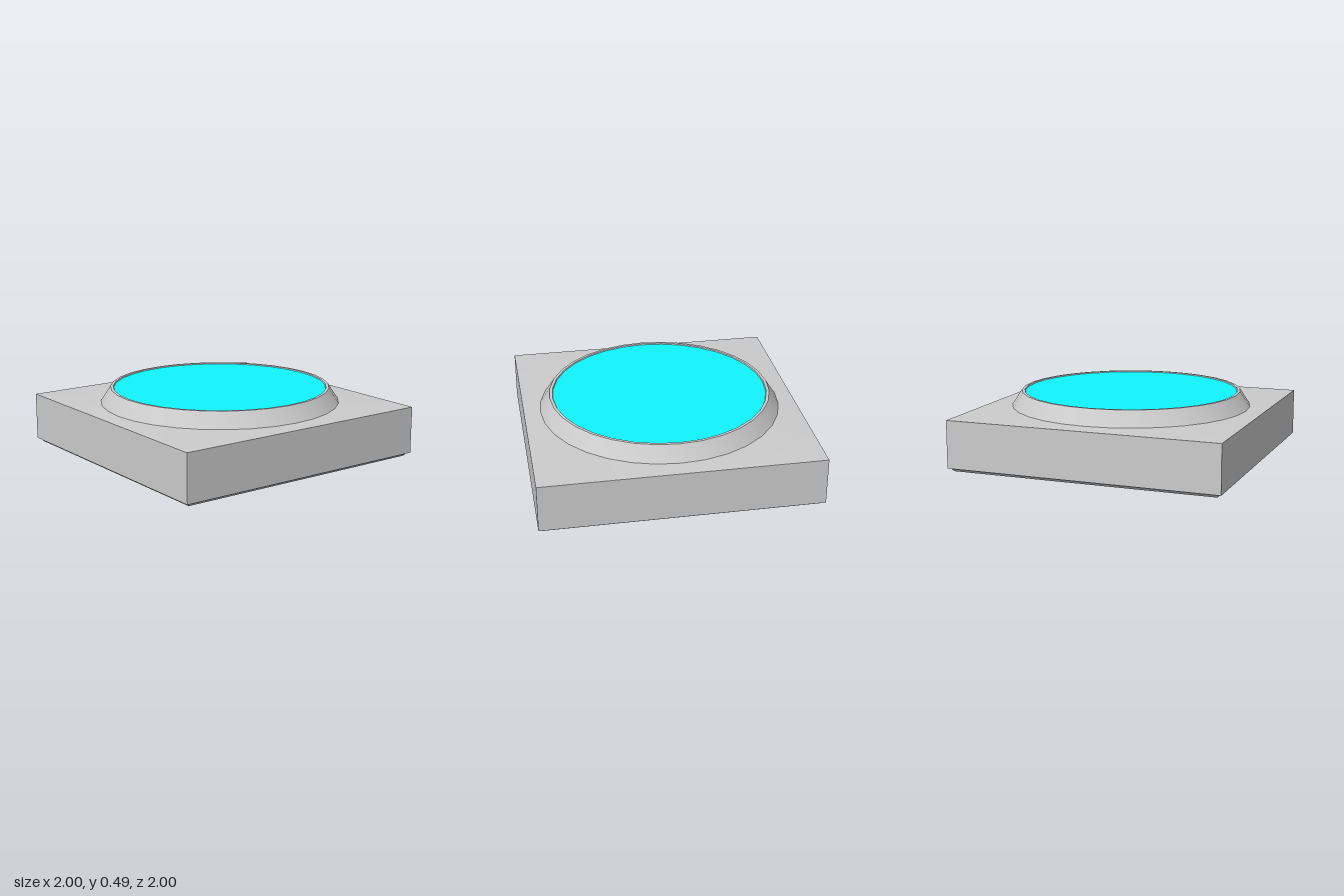
import * as THREE from 'three';
import { toCreasedNormals } from 'three/addons/utils/BufferGeometryUtils.js';

const SIDES = 32;
const TOP_EDGE = 0.37;
const grey = new THREE.MeshStandardMaterial({ color: 0xcccccc });
const cyan = new THREE.MeshStandardMaterial({ color: 0x10f5ff });

function lathe(profile) {
  return new THREE.LatheGeometry(profile.map(([r, y]) => new THREE.Vector2(r, y)), SIDES);
}

function addPart(group, name, geometry, material) {
  const mesh = new THREE.Mesh(geometry, material);
  mesh.name = name;
  group.add(mesh);
  return mesh;
}

// Push round cross-sections out to a square, up to the given height
function squareBelow(geometry, height) {
  const pos = geometry.attributes.position;
  for (let i = 0; i < pos.count; i++) {
    const x = pos.getX(i), y = pos.getY(i), z = pos.getZ(i);
    const r = Math.hypot(x, z);
    if (r < 1e-6 || y > height + 1e-4) continue;
    const k = r / Math.max(Math.abs(x), Math.abs(z));
    pos.setXYZ(i, x * k, y, z * k);
  }
  return geometry;
}

export function createModel() {
  const model = new THREE.Group();
  model.name = 'roundButtonPanel';

  // Square base: chamfered foot, small ledge, straight sides, top rising to a circle
  const base = squareBelow(lathe([
    [0, 0], [0.965, 0], [0.985, 0.025], [1, 0.025], [1, TOP_EDGE], [0.88, 0.38],
  ]), TOP_EDGE);
  addPart(model, 'squareBase', toCreasedNormals(base, Math.PI / 7), grey);

  // Sloping collar with a narrow flat rim and a shallow inner lip
  const collar = lathe([[0.88, 0.38], [0.808, 0.49], [0.787, 0.49], [0.783, 0.482]]);
  addPart(model, 'collar', toCreasedNormals(collar, Math.PI / 7), grey);

  // Coloured disc set just below the rim
  const disc = new THREE.CircleGeometry(0.783, SIDES).rotateX(-Math.PI / 2);
  addPart(model, 'disc', disc, cyan).position.y = 0.482;

  return model;
}
